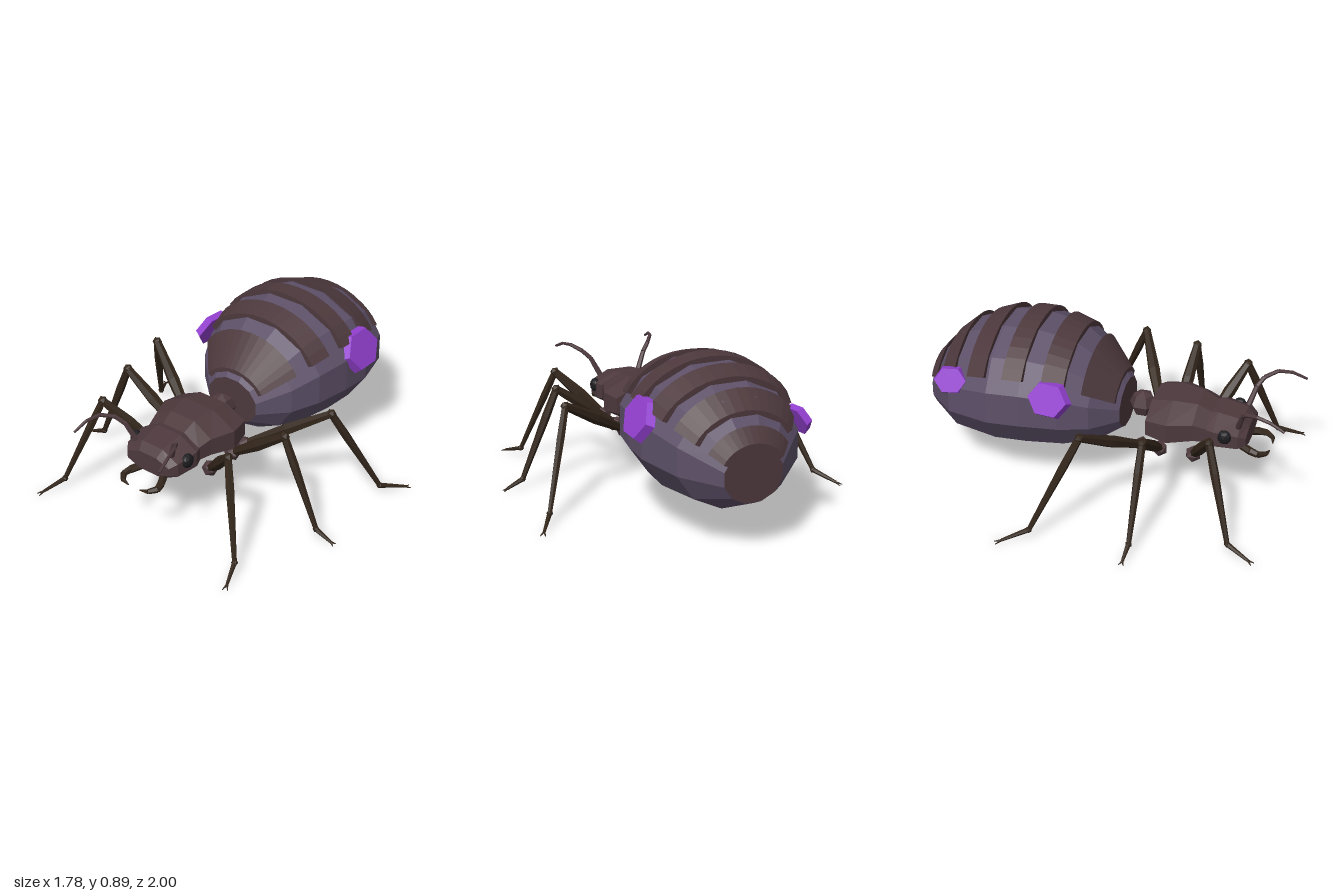
import * as THREE from 'three';
import { mergeGeometries } from 'three/addons/utils/BufferGeometryUtils.js';

const mat = (color) => new THREE.MeshStandardMaterial({ color, flatShading: true });
const SHELL = mat(0x5d5068), PLATE = mat(0x4d393d), LEG = mat(0x33261b), GEM = mat(0x9340d0), EYE = mat(0x1c1c20);
const V = (x, y, z) => new THREE.Vector3(x, y, z);

function add(parent, name, geometry, material) {
  const mesh = new THREE.Mesh(geometry, material);
  mesh.name = name;
  parent.add(mesh);
  return mesh;
}

function toGeometry(points) {
  const g = new THREE.BufferGeometry().setFromPoints(points);
  g.computeVertexNormals();
  return g;
}

// Skin between successive rings of points
function loft(rings) {
  const out = [], n = rings[0].length;
  for (let i = 0; i < rings.length - 1; i++) {
    for (let j = 0; j < n; j++) {
      const k = (j + 1) % n;
      const [a, b, c, d] = [rings[i][j], rings[i][k], rings[i + 1][k], rings[i + 1][j]];
      out.push(a, d, c, a, c, b);
    }
  }
  return toGeometry(out);
}

// Fan closing one ring
function cap(ring, flip) {
  const out = [], n = ring.length;
  const mid = ring.reduce((s, p) => s.add(p), V(0, 0, 0)).divideScalar(n);
  ring.forEach((p, j) => {
    const q = ring[(j + 1) % n];
    out.push(mid, flip ? q : p, flip ? p : q);
  });
  return toGeometry(out);
}

const solid = (rings) => mergeGeometries([loft(rings), cap(rings[0], false), cap(rings[rings.length - 1], true)]);

// Polygonal section with flat top, from [z, bottom, top, halfWidth]
function section([z, y0, y1, w], n) {
  const k = 1 / Math.cos(Math.PI / n);
  return Array.from({ length: n }, (_, j) => {
    const a = ((j + 0.5) / n) * Math.PI * 2;
    return V(Math.cos(a) * w * k, (y0 + y1) / 2 + Math.sin(a) * (y1 - y0) / 2 * k, z);
  });
}

// Tapered rod through points, one radius per point
function rod(points, radii, sides = 6) {
  const parts = [];
  for (let i = 0; i < points.length - 1; i++) {
    const dir = points[i + 1].clone().sub(points[i]);
    const g = new THREE.CylinderGeometry(radii[i + 1], radii[i], dir.length(), sides);
    g.applyQuaternion(new THREE.Quaternion().setFromUnitVectors(V(0, 1, 0), dir.normalize()));
    const m = points[i].clone().add(points[i + 1]).multiplyScalar(0.5);
    parts.push(g.translate(m.x, m.y, m.z));
  }
  return mergeGeometries(parts);
}

const ABDOMEN = [
  [0.08, 0.315, 0.57, 0.16], [-0.05, 0.235, 0.73, 0.3], [-0.2, 0.2, 0.83, 0.375], [-0.4, 0.187, 0.865, 0.412],
  [-0.58, 0.18, 0.855, 0.415], [-0.83, 0.2, 0.765, 0.335], [-1, 0.28, 0.56, 0.16],
];

// Abdomen dimensions at any z
function abdomenAt(z) {
  let i = 0;
  while (i < ABDOMEN.length - 2 && z < ABDOMEN[i + 1][0]) i++;
  const a = ABDOMEN[i], b = ABDOMEN[i + 1], t = (a[0] - z) / (a[0] - b[0]);
  return a.map((v, k) => v + (b[k] - v) * t);
}

// Curved plate over the back, between two z positions
function band(z0, z1) {
  const rings = [], steps = 14;
  const point = (z, a, lift) => {
    const [, y0, y1, w] = abdomenAt(z), k = 1 / Math.cos(Math.PI / 12);
    return V(Math.cos(a) * (w * k + lift), (y0 + y1) / 2 + Math.sin(a) * ((y1 - y0) / 2 * k + lift), z);
  };
  for (let i = 0; i <= steps; i++) {
    const a = THREE.MathUtils.degToRad(28 + (124 * i) / steps);
    rings.push([point(z0, a, -0.025), point(z1, a, -0.025), point(z1, a, 0.02), point(z0, a, 0.02)]);
  }
  return solid(rings);
}

function buildAbdomen() {
  const g = new THREE.Group();
  g.name = 'abdomen';
  const rings = ABDOMEN.map((s) => section(s, 12));
  add(g, 'abdomenShell', loft(rings), SHELL);
  add(g, 'abdomenFrontCap', cap(rings[0], false), PLATE);
  add(g, 'abdomenRearCap', cap(rings[6], true), PLATE);
  const bands = [[0.06, -0.085], [-0.17, -0.285], [-0.385, -0.495], [-0.595, -0.705], [-0.79, -0.89], [-0.94, -1]];
  bands.forEach(([a, b]) => add(g, 'backPlate', band(a, b), PLATE));

  // Hexagonal crystals: x, y, z, radius, yaw
  const gems = [[0.407, 0.63, -0.53, 0.15, 0], [-0.395, 0.62, -0.235, 0.125, -0.1], [-0.345, 0.61, -0.805, 0.097, 0.2]];
  for (const [x, y, z, r, yaw] of gems) {
    const s = Math.sign(x);
    const geo = new THREE.CylinderGeometry(r * 0.88, r, 0.045, 6);
    geo.scale(0.85, 1, 1).rotateZ(-s * (Math.PI / 2 - 0.4)).rotateY(yaw);
    add(g, 'crystal', geo, GEM).position.set(x, y, z);
  }
  return g;
}

// One leg on side s: coxa, femur, tibia, foot with two claws
function buildLeg(name, s, hip, knee, ankle, tip) {
  const g = new THREE.Group();
  g.name = name;
  const [h, k, a, t] = [hip, knee, ankle, tip].map(([x, y, z]) => V(x * s, y, z));
  const ball = (part, p, r, m) => add(g, part, new THREE.IcosahedronGeometry(r, 0), m).position.copy(p);
  ball('coxa', h, 0.045, PLATE);
  add(g, 'femur', rod([h, h.clone().lerp(k, 0.5), k], [0.022, 0.034, 0.022]), LEG);
  ball('knee', k, 0.027, LEG);
  add(g, 'tibia', rod([k, k.clone().lerp(a, 0.3), a], [0.02, 0.023, 0.013]), LEG);
  ball('ankle', a, 0.018, LEG);
  const heel = a.clone().lerp(t, 0.8);
  add(g, 'foot', rod([a, heel], [0.014, 0.008]), LEG);
  const dir = t.clone().sub(a).setY(0).normalize();
  for (const e of [-1, 1]) {
    const claw = t.clone().add(V(-dir.z * e * 0.014, 0, dir.x * e * 0.014));
    add(g, 'claw', rod([heel, claw], [0.007, 0.002], 5), LEG);
  }
  return g;
}

export function createModel() {
  const model = new THREE.Group();
  model.name = 'ant';
  model.add(buildAbdomen());

  // Waist, thorax and head
  const waist = new THREE.SphereGeometry(0.075, 6, 4).rotateY(Math.PI / 6);
  add(model, 'waist', waist, PLATE).position.set(0, 0.45, 0.165);
  const thorax = [[0.57, 0.33, 0.505, 0.17], [0.49, 0.315, 0.545, 0.19], [0.36, 0.3, 0.555, 0.24], [0.24, 0.33, 0.535, 0.215]];
  const head = [[0.768, 0.345, 0.45, 0.14], [0.73, 0.315, 0.49, 0.17], [0.6, 0.31, 0.515, 0.187], [0.55, 0.33, 0.505, 0.17]];
  add(model, 'thorax', solid(thorax.map((r) => section(r, 8))), PLATE);
  add(model, 'head', solid(head.map((r) => section(r, 8))), PLATE);

  for (const s of [1, -1]) {
    const side = s > 0 ? 'left' : 'right';
    const path = (list) => list.map(([x, y, z]) => V(x * s, y, z));

    const eye = add(model, side + 'Eye', new THREE.IcosahedronGeometry(0.04, 1), EYE);
    eye.scale.set(0.7, 1, 0.95);
    eye.position.set(0.175 * s, 0.43, 0.66);

    const feeler = path([[0.12, 0.47, 0.72], [0.165, 0.565, 0.75], [0.205, 0.605, 0.78], [0.25, 0.63, 0.845], [0.272, 0.622, 0.92], [0.285, 0.588, 0.998]]);
    add(model, side + 'Antenna', rod(feeler, [0.016, 0.013, 0.012, 0.01, 0.009, 0.007]), PLATE);

    const jaw = path([[0.075, 0.335, 0.73], [0.105, 0.325, 0.79], [0.115, 0.318, 0.83], [0.085, 0.312, 0.868], [0.038, 0.306, 0.878]]);
    add(model, side + 'Mandible', rod(jaw, [0.022, 0.021, 0.018, 0.013, 0.003]), LEG);

    model.add(
      buildLeg(side + 'FrontLeg', s, [0.19, 0.305, 0.5], [0.425, 0.545, 0.64], [0.59, 0.06, 0.795], [0.65, 0.008, 0.945]),
      buildLeg(side + 'MiddleLeg', s, [0.19, 0.305, 0.315], [0.535, 0.55, 0.32], [0.745, 0.06, 0.315], [0.86, 0.008, 0.31]),
      buildLeg(side + 'RearLeg', s, [0.185, 0.305, 0.215], [0.6, 0.555, 0.005], [0.78, 0.06, -0.215], [0.875, 0.008, -0.37]),
    );
  }
  return model;
}
